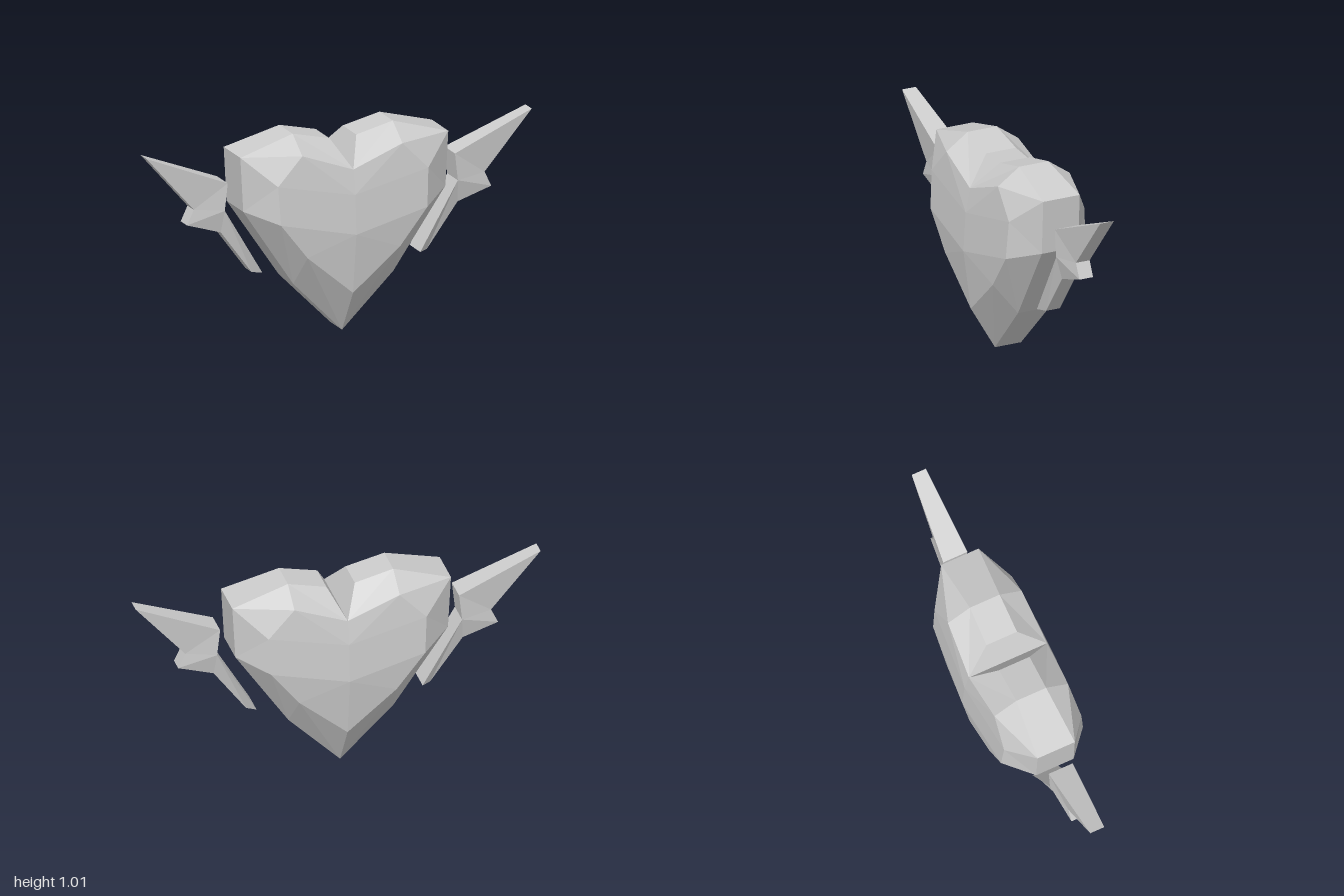
import * as THREE from 'three';

const material = new THREE.MeshStandardMaterial({ color: 0xcccccc, flatShading: true });

// Turns polygons (fanned from their first corner) into a mesh, mirrored by each [sx, sz] pair.
function facetMesh(name, polygons, mirrors) {
  const positions = [];
  for (const [sx, sz] of mirrors) {
    for (const poly of polygons) {
      for (let i = 1; i < poly.length - 1; i++) {
        const tri = [poly[0], poly[i], poly[i + 1]];
        if (sx * sz < 0) tri.reverse();
        for (const [x, y, z] of tri) positions.push(x * sx, y, z * sz);
      }
    }
  }
  const geometry = new THREE.BufferGeometry();
  geometry.setAttribute('position', new THREE.Float32BufferAttribute(positions, 3));
  geometry.computeVertexNormals();
  const mesh = new THREE.Mesh(geometry, material);
  mesh.name = name;
  return mesh;
}

// Wall from the edge a-b straight back to the middle plane z = 0.
const wall = (a, b) => [b, a, [a[0], a[1], 0], [b[0], b[1], 0]];

function createHeart() {
  // Quarter of the heart: outer rim and raised inner outline, bottom point to notch.
  const notch = [0, 0.84, 0.205];
  const rim = [
    [0, 0.005, 0.07], [0.26, 0.27, 0.085], [0.525, 0.665, 0.098],
    [0.54, 0.935, 0.098], [0.26, 1.015, 0.078], [0.07, 0.97, 0.08], notch,
  ];
  const inner = [
    [0, 0.225, 0.2], [0.24, 0.43, 0.21], [0.38, 0.61, 0.215],
    [0.39, 0.8, 0.203], [0.26, 0.935, 0.193], notch,
  ];
  const belly = [0, 0.525, 0.24];
  const chest = [0, 0.72, 0.228];

  const faces = [];
  // Bevel ring
  for (let i = 0; i < 5; i++) faces.push([rim[i], rim[i + 1], inner[i + 1], inner[i]]);
  // Side walls
  for (let i = 0; i < 6; i++) faces.push(wall(rim[i], rim[i + 1]));
  // Domed face
  faces.push(
    [belly, inner[0], inner[1], inner[2]],
    [belly, inner[2], inner[3], chest],
    [chest, inner[3], inner[4], notch],
  );
  return facetMesh('heart', faces, [[1, 1], [-1, 1], [1, -1], [-1, -1]]);
}

function createWing(name, side) {
  // Outline from the tip down the inner edge and back up the outer edge.
  const p = [
    [1, 0.97, 0.037], [0.59, 0.805, 0.063], [0.605, 0.67, 0.063], [0.41, 0.338, 0.063],
    [0.455, 0.34, 0.037], [0.615, 0.557, 0.037], [0.79, 0.613, 0.037], [0.755, 0.687, 0.037],
  ];
  const faces = [[0, 1, 7], [1, 2, 7], [2, 6, 7], [2, 5, 6], [2, 3, 4, 5]]
    .map((f) => f.map((i) => p[i]));
  p.forEach((a, i) => faces.push(wall(a, p[(i + 1) % p.length])));
  return facetMesh(name, faces, [[side, 1], [side, -1]]);
}

export function createModel() {
  const group = new THREE.Group();
  group.name = 'wingedHeart';
  group.add(createHeart(), createWing('leftWing', 1), createWing('rightWing', -1));
  return group;
}
